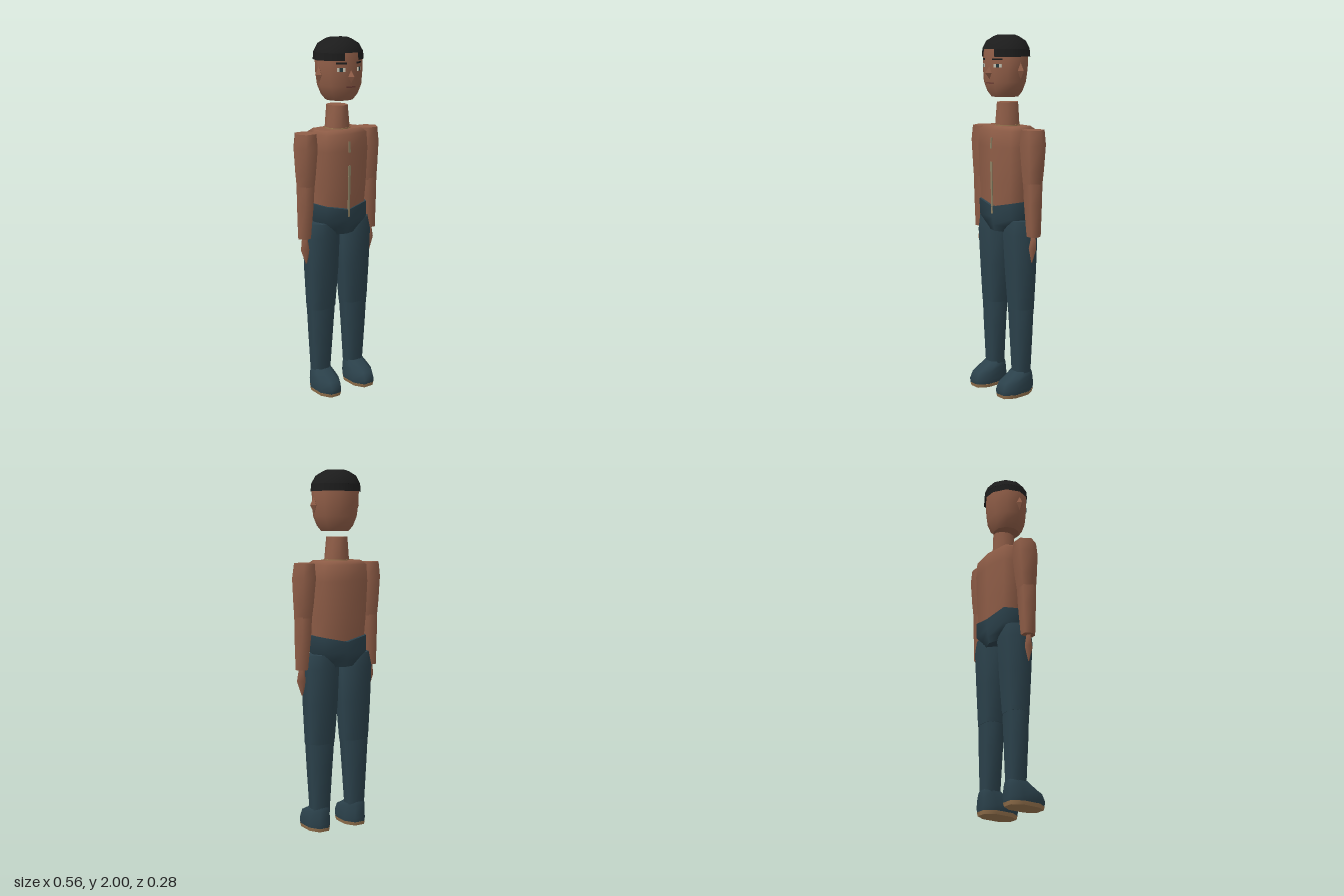
import * as THREE from 'three';

const mat = (name, color, side = THREE.FrontSide) => {
  const m = new THREE.MeshStandardMaterial({ color, side });
  m.name = name;
  return m;
};

// Stacks closed n-sided rings [y, cx, cz, rx, rz]; p < 1 squares off the outline.
function loft(rings, n, { phase = 0, p = 1, lift = () => 0 } = {}) {
  const pw = v => Math.sign(v) * Math.abs(v) ** p;
  const unit = [];
  for (let j = 0; j < n; j++) {
    const a = phase + (j / n) * Math.PI * 2;
    unit.push([pw(Math.cos(a)), pw(Math.sin(a))]);
  }
  const mx = Math.max(...unit.map(u => Math.abs(u[0])));
  const mz = Math.max(...unit.map(u => Math.abs(u[1])));
  const pos = [], idx = [];
  const addRing = ([y, cx, cz, rx, rz], i) => unit.forEach(([ux, uz]) =>
    pos.push(cx + (ux / mx) * rx, y + lift(i, ux, uz), cz + (uz / mz) * rz));
  rings.forEach(addRing);
  for (let i = 0; i < rings.length - 1; i++) {
    for (let j = 0; j < n; j++) {
      const a = i * n + j, b = i * n + ((j + 1) % n);
      idx.push(a, a + n, b, b, a + n, b + n);
    }
  }
  // Caps have their own vertices so their rims stay sharp
  [0, rings.length - 1].forEach((i, top) => {
    const s = pos.length / 3;
    addRing(rings[i], i);
    for (let j = 1; j < n - 1; j++) {
      if (top) idx.push(s, s + j + 1, s + j);
      else idx.push(s, s + j, s + j + 1);
    }
  });
  const g = new THREE.BufferGeometry();
  g.setAttribute('position', new THREE.Float32BufferAttribute(pos, 3));
  g.setIndex(idx);
  g.computeVertexNormals();
  return g;
}

export function createModel() {
  const model = new THREE.Group();
  const skin = mat('skin', 0x8f5d47);
  const denim = mat('trousers', 0x2b414b);
  const hair = mat('hair', 0x1c1c1c, THREE.DoubleSide);
  const tan = mat('sole tan', 0x9a7650);
  const metal = mat('zip', 0x8c8062);
  const white = mat('eye white', 0xc4bfae);
  const iris = mat('iris', 0x24383c);
  const lip = mat('lips', 0x6b3d33);

  const add = (name, geo, m, parent = model) => {
    const mesh = new THREE.Mesh(geo, m);
    mesh.name = name;
    parent.add(mesh);
    return mesh;
  };
  const plate = (name, w, h, x, y, z, m, ry = 0, rx = 0) => {
    const b = add(name, new THREE.BoxGeometry(w, h, 0.006), m);
    b.position.set(x, y, z);
    b.rotation.set(rx, ry, 0);
    return b;
  };
  const gem = (name, x, y, z, sx, sy, sz) => {
    const g = new THREE.OctahedronGeometry(1).scale(sx, sy, sz);
    g.computeVertexNormals();
    add(name, g, skin).position.set(x, y, z);
  };

  // Head and neck
  add('head', loft([
    [1.67, 0, 0, 0.075, 0.072], [1.70, 0, 0, 0.102, 0.09],
    [1.75, 0, 0, 0.124, 0.105], [1.82, 0, -0.003, 0.132, 0.111],
    [1.90, 0, -0.004, 0.135, 0.112], [1.95, 0, -0.006, 0.115, 0.1],
  ], 10), skin);
  add('neck', loft([[1.50, 0, -0.018, 0.07, 0.066], [1.64, 0, -0.02, 0.055, 0.062]], 10), skin);
  add('neckBand', loft([[1.508, 0, -0.018, 0.072, 0.068], [1.518, 0, -0.018, 0.072, 0.068]], 10), tan);

  // Hair: cap plus a lower band left open above the forehead
  add('hairCap', loft([
    [1.925, 0, -0.008, 0.138, 0.12], [1.968, 0, -0.009, 0.113, 0.103],
    [1.992, 0, -0.01, 0.075, 0.065], [2.0, 0, -0.01, 0.055, 0.045],
  ], 10), hair);
  const band = new THREE.CylinderGeometry(0.138, 0.142, 0.04, 9, 1, true, Math.PI / 10, Math.PI * 1.8);
  band.scale(1, 1, 0.9);
  add('hairBand', band, hair).position.set(0, 1.905, -0.008);
  plate('partingMark', 0.04, 0.012, 0, 1.974, 0.062, skin, 0, -0.9);

  // Face
  gem('nose', 0, 1.8, 0.108, 0.018, 0.034, 0.03);
  plate('mouth', 0.06, 0.008, 0, 1.745, 0.106, lip);
  for (const s of [-1, 1]) {
    gem('ear', s * 0.132, 1.81, 0, 0.024, 0.045, 0.022);
    const ry = s * 0.6;
    plate('eye', 0.045, 0.02, s * 0.058, 1.838, 0.098, white, ry);
    plate('iris', 0.017, 0.02, s * 0.0595, 1.838, 0.1, iris, ry);
    plate('eyebrow', 0.058, 0.009, s * 0.056, 1.872, 0.1, hair, ry);
  }

  // Torso, hips and zip
  add('torso', loft([
    [1.05, 0, -0.021, 0.148, 0.104], [1.20, 0, -0.021, 0.16, 0.113],
    [1.40, 0, -0.021, 0.17, 0.118], [1.49, 0, -0.021, 0.165, 0.113],
    [1.512, 0, -0.021, 0.142, 0.08],
  ], 8, { p: 0.6 }), skin);
  add('hips', loft([
    [0.93, 0, -0.021, 0.07, 0.095], [0.965, 0, -0.021, 0.105, 0.105],
    [1.01, 0, -0.021, 0.165, 0.112], [1.085, 0, -0.021, 0.164, 0.115],
  ], 8, { p: 0.6, lift: (i, ux) => (i === 3 ? -0.015 + 0.035 * Math.abs(ux) : 0) }), denim);
  plate('zipLower', 0.012, 0.24, 0, 1.15, 0.0925, metal, 0, 0.02);
  plate('zipMiddle', 0.014, 0.055, 0, 1.29, 0.0955, metal);
  plate('zipUpper', 0.012, 0.06, 0, 1.42, 0.0955, metal, 0, -0.03);

  // Limbs on both sides
  for (const s of [1, -1]) {
    const side = s > 0 ? 'left' : 'right';
    const ring = ([y, cx, cz, rx, rz]) => [y, s * cx, cz, rx, rz];
    const limb = (name, rings, n, opt, m) => add(side + name, loft(rings.map(ring), n, opt), m);
    limb('UpperArm', [
      [1.20, 0.212, -0.018, 0.055, 0.045], [1.28, 0.21, -0.02, 0.064, 0.052],
      [1.42, 0.207, -0.022, 0.075, 0.061], [1.50, 0.206, -0.022, 0.064, 0.056],
    ], 6, {}, skin);
    limb('Forearm', [
      [0.92, 0.222, -0.018, 0.039, 0.034], [1.10, 0.215, -0.018, 0.052, 0.042],
      [1.22, 0.212, -0.018, 0.056, 0.046],
    ], 6, {}, skin);
    limb('Hand', [
      [0.775, 0.216, -0.01, 0.004, 0.003], [0.855, 0.219, -0.012, 0.031, 0.026],
      [0.925, 0.222, -0.016, 0.018, 0.012],
    ], 4, {}, skin);
    const eight = { phase: Math.PI / 8, p: 0.85 };
    limb('Thigh', [
      [0.50, 0.112, -0.021, 0.079, 0.062], [0.72, 0.108, -0.021, 0.092, 0.075],
      [0.92, 0.107, -0.021, 0.097, 0.086], [1.0, 0.118, -0.021, 0.07, 0.075],
    ], 8, eight, denim);
    limb('Shin', [
      [0.12, 0.115, -0.024, 0.053, 0.049], [0.36, 0.114, -0.022, 0.068, 0.057],
      [0.52, 0.112, -0.021, 0.078, 0.061],
    ], 8, eight, denim);
    limb('Shoe', [
      [0.018, 0.117, 0.025, 0.066, 0.108], [0.045, 0.117, 0.026, 0.069, 0.111],
      [0.085, 0.117, 0.018, 0.064, 0.101], [0.115, 0.116, -0.01, 0.058, 0.07],
      [0.135, 0.115, -0.022, 0.05, 0.052],
    ], 8, eight, denim);
    limb('Sole', [
      [0, 0.117, 0.025, 0.063, 0.104], [0.02, 0.117, 0.025, 0.068, 0.109],
    ], 8, eight, tan);
  }
  return model;
}
